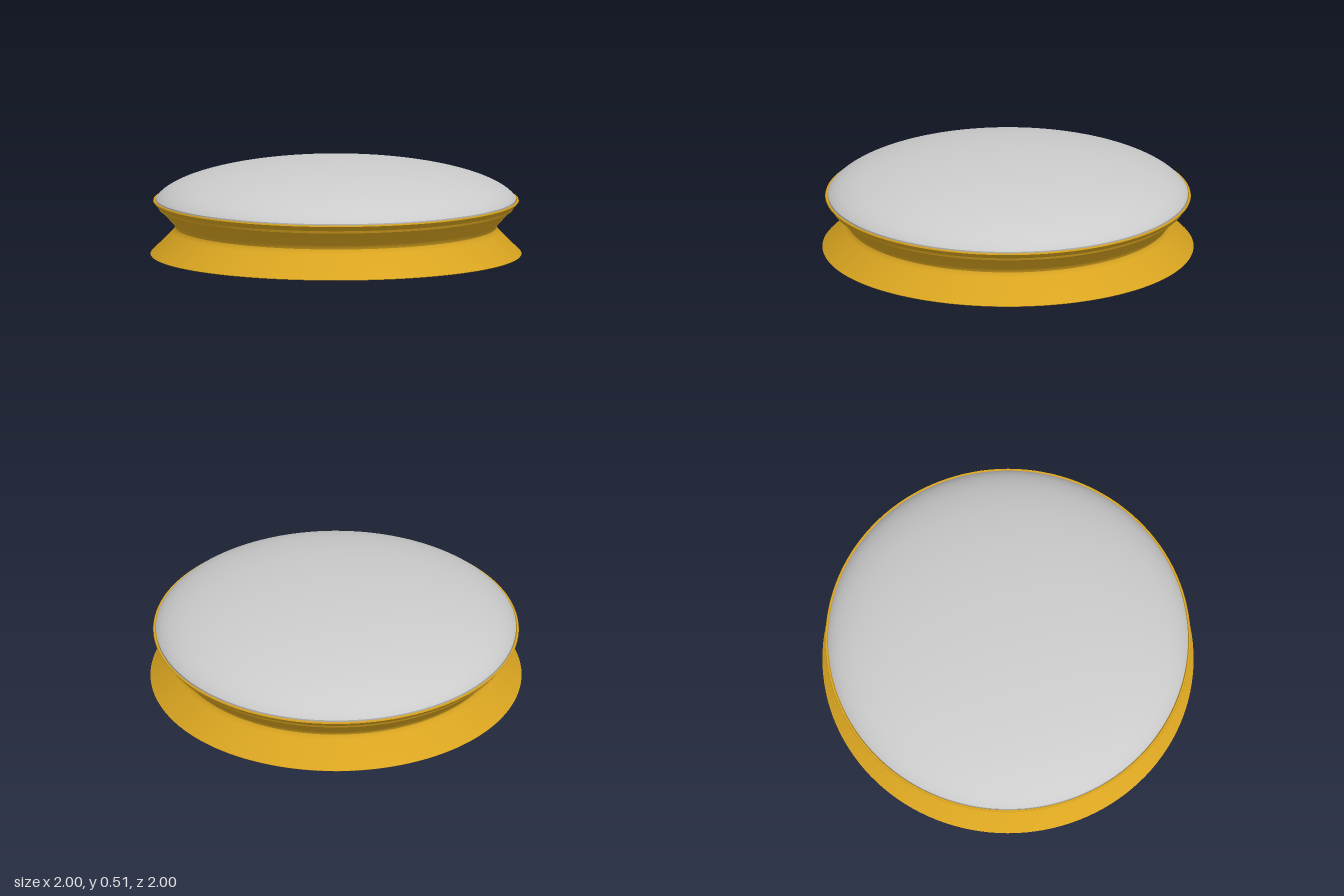
import * as THREE from 'three';
import { toCreasedNormals } from 'three/addons/utils/BufferGeometryUtils.js';

const SEGMENTS = 128;
const gold = new THREE.MeshStandardMaterial({ color: 0xdaa520, side: THREE.DoubleSide });
const grey = new THREE.MeshStandardMaterial({ color: 0xcccccc, side: THREE.DoubleSide });

const toPoints = (list) => list.map(([r, y]) => new THREE.Vector2(r, y));

function lathe(name, list, material, start = 0, length = Math.PI * 2, segments = SEGMENTS) {
  const geometry = toCreasedNormals(new THREE.LatheGeometry(toPoints(list), segments, start, length), 0.5);
  const mesh = new THREE.Mesh(geometry, material);
  mesh.name = name;
  return mesh;
}

// Elliptical arc from the rim (radius r0) to radius r1
function domeArc(a, b, base, r0, r1, steps) {
  const t0 = Math.acos(r0 / a), t1 = Math.acos(r1 / a);
  return Array.from({ length: steps + 1 }, (_, i) => {
    const t = t0 + (t1 - t0) * i / steps;
    return [Math.max(0, a * Math.cos(t)), base + b * Math.sin(t)];
  });
}

export function createModel() {
  const model = new THREE.Group();
  model.name = 'domedCap';

  // Waisted gold band with a thin top rim and a floor above the bottom plate
  model.add(lathe('goldBand', [
    [0.72, 0.06], [0.94, 0.06], [0.998, 0], [1, 0.003],
    [0.88, 0.125], [0.869, 0.138], [0.865, 0.15], [0.869, 0.162], [0.88, 0.175],
    [0.985, 0.29], [0.983, 0.297], [0.975, 0.297], [0.955, 0.25], [0.8, 0.25],
  ], gold));

  // Smooth dome, with its edge sunk inside the rim
  model.add(lathe('dome', [[0.95, 0.25], [0.965, 0.27], ...domeArc(0.985, 0.25, 0.26, 0.97, 0, 40)], grey));

  // Bottom plate in two halves, leaving a radial slot on each side
  const plate = [
    [0.74, 0], [0.995, 0], [0.94, 0.055], [0.67, 0.055], [0.65, 0.045],
    [0.655, 0.033], [0.67, 0.02], [0.695, 0.008], [0.74, 0],
  ];
  const gap = 0.035;
  const capGeometry = new THREE.ShapeGeometry(new THREE.Shape(toPoints(plate)));
  for (const side of [1, -1]) {
    const start = side * Math.PI / 2 + gap;
    const length = Math.PI - 2 * gap;
    model.add(lathe('bottomPlate', plate, grey, start, length, SEGMENTS / 2));
    for (const angle of [start, start + length]) {
      const wall = new THREE.Mesh(capGeometry, grey);
      wall.name = 'slotWall';
      wall.rotation.y = angle - Math.PI / 2;
      model.add(wall);
    }
  }

  // Gold seat ring showing inside the opening
  model.add(lathe('seatRing', [
    [0.76, 0.06], [0.70, 0.06], [0.70, 0.085], [0.715, 0.085], [0.715, 0.1], [0.76, 0.1],
  ], gold));

  // Stepped inner wall and hollow underside of the dome
  model.add(lathe('innerWall', [
    [0.73, 0.1], [0.73, 0.18], [0.745, 0.18], [0.745, 0.2], [0.725, 0.21], [0.725, 0.24], [0.75, 0.25],
  ], grey));
  model.add(lathe('ceiling', [
    [0.75, 0.25], [0.7, 0.32], [0.62, 0.375], [0.52, 0.415], [0.42, 0.44],
    [0.42, 0.455], [0.25, 0.465], [0, 0.47],
  ], grey));

  // Small locating tab on the inner wall
  const tab = new THREE.Mesh(new THREE.BoxGeometry(0.07, 0.11, 0.1), grey);
  tab.name = 'locatingTab';
  tab.position.set(-0.645, 0.155, -0.26);
  tab.rotation.y = -Math.atan2(0.26, 0.645);
  model.add(tab);

  return model;
}
